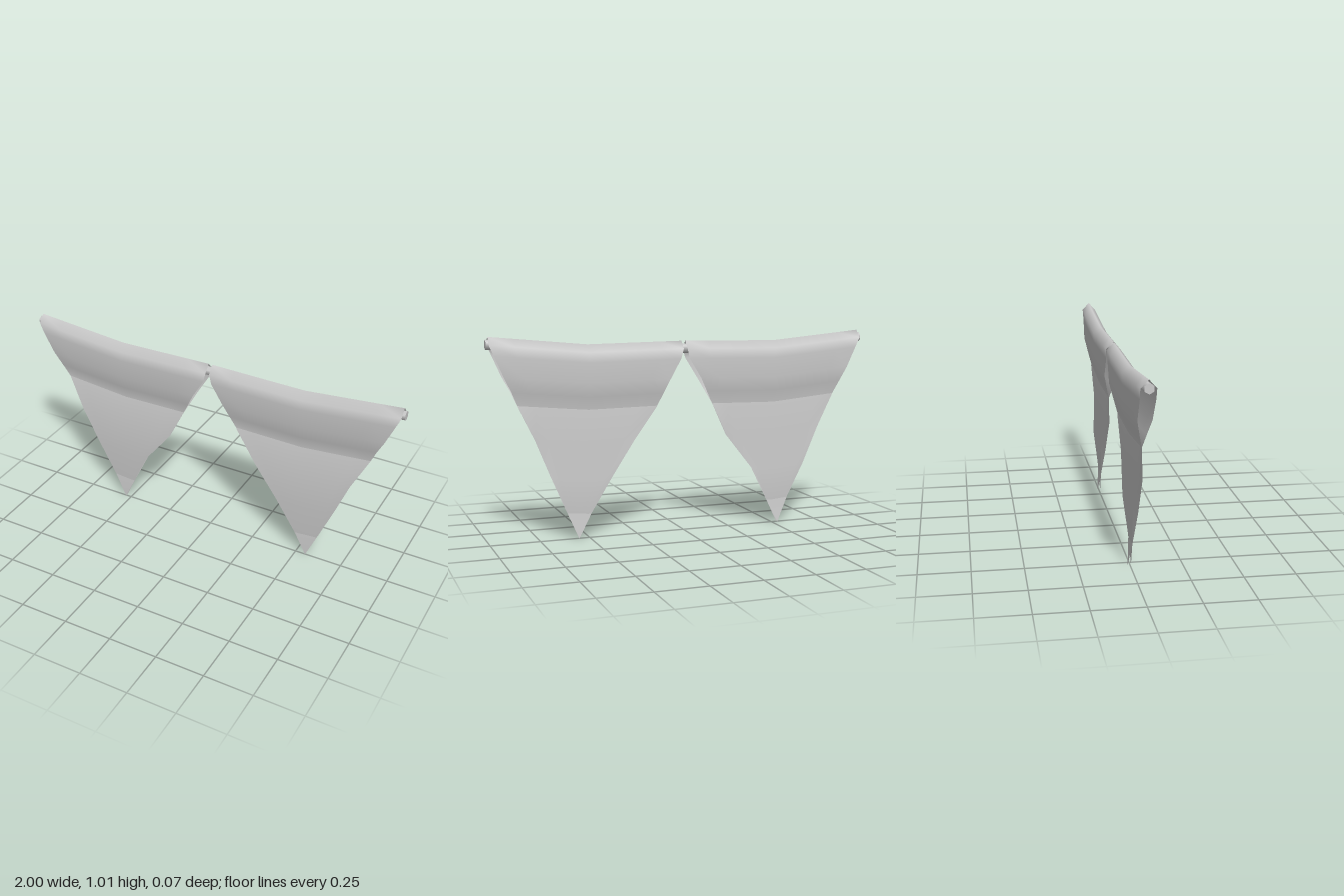
import * as THREE from 'three';

// Height of the sagging rope at any x
const SAG = [0.975, 0.928, 0.936, 0.928, 0.975];
function ropeY(x) {
  const t = THREE.MathUtils.clamp((x + 1) * 2, 0, 3.9999);
  const i = Math.floor(t);
  return THREE.MathUtils.lerp(SAG[i], SAG[i + 1], t - i);
}

// Cloth cross-section: [drop below rope, front sheet z, back sheet z]
const SECTION = [
  [0, 0.035, -0.036],
  [0.05, 0.036, -0.034],
  [0.15, 0.03, -0.035],
  [0.22, 0.012, -0.019],
  [0.29, -0.005, -0.002],
  [0.45, 0.001, 0.016],
  [0.63, -0.014, 0.013],
  [0.8, 0.001, 0.002],
  [0.931, 0.005, -0.011],
];

// Outline of each pennant: [minX, maxX] per row of the cross-section
const RIGHT_OUTLINE = [
  [-0.988, -0.01], [-0.965, -0.023], [-0.915, -0.085], [-0.88, -0.122], [-0.845, -0.16],
  [-0.765, -0.24], [-0.675, -0.385], [-0.593, -0.467], [-0.53, -0.53],
];
const LEFT_OUTLINE = [
  [0.01, 0.988], [0.023, 0.965], [0.08, 0.92], [0.112, 0.882], [0.145, 0.85],
  [0.26, 0.765], [0.385, 0.69], [0.485, 0.615], [0.555, 0.555],
];

function pennant(name, outline, material) {
  // Rows run from the front tip, over the rope, down to the back tip
  const front = SECTION.map(([drop, z], i) => ({ drop, z, edge: outline[i] })).reverse();
  const back = SECTION.map(([drop, , z], i) => ({ drop, z, edge: outline[i] }));
  const rows = [...front, { drop: -0.038, z: 0, edge: outline[0] }, ...back];
  const cols = 8;
  const positions = [];
  const indices = [];
  rows.forEach(({ drop, z, edge }, r) => {
    for (let c = 0; c <= cols; c++) {
      const x = THREE.MathUtils.lerp(edge[0], edge[1], c / cols);
      positions.push(x, ropeY(x) - drop, z);
      if (r < rows.length - 1 && c < cols) {
        const a = r * (cols + 1) + c;
        const d = a + cols + 1;
        indices.push(a, a + 1, d, a + 1, d + 1, d);
      }
    }
  });
  const geometry = new THREE.BufferGeometry();
  geometry.setAttribute('position', new THREE.Float32BufferAttribute(positions, 3));
  geometry.setIndex(indices);
  geometry.computeVertexNormals();
  const mesh = new THREE.Mesh(geometry, material);
  mesh.name = name;
  return mesh;
}

export function createModel() {
  const group = new THREE.Group();
  group.name = 'bunting';
  const cloth = new THREE.MeshStandardMaterial({ color: 0xcccccc, side: THREE.DoubleSide });

  // Six-sided rope bent along the sag
  const ropeGeometry = new THREE.CylinderGeometry(0.024, 0.024, 2, 6, 4, false, Math.PI / 6);
  ropeGeometry.rotateZ(Math.PI / 2);
  const p = ropeGeometry.attributes.position;
  for (let i = 0; i < p.count; i++) p.setY(i, p.getY(i) + ropeY(p.getX(i)));
  const rope = new THREE.Mesh(ropeGeometry, new THREE.MeshStandardMaterial({ color: 0xcccccc }));
  rope.name = 'rope';

  // Two folded pennants draped over the rope
  group.add(rope, pennant('rightPennant', RIGHT_OUTLINE, cloth), pennant('leftPennant', LEFT_OUTLINE, cloth));
  return group;
}
